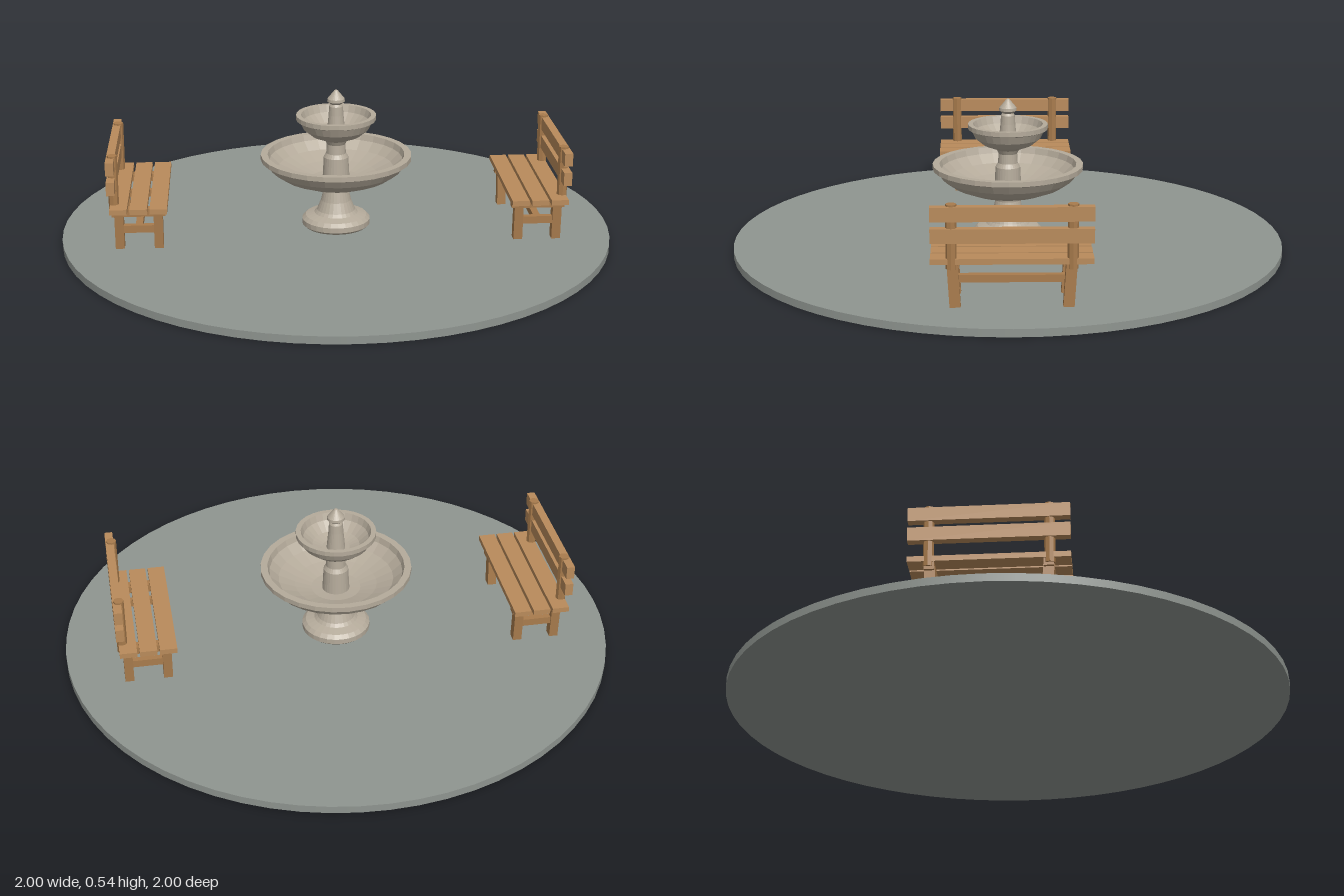
import * as THREE from 'three';

const wood = new THREE.MeshStandardMaterial({ color: 0xb98b5b, flatShading: true });
const darkWood = new THREE.MeshStandardMaterial({ color: 0xa97c4d, flatShading: true });
const stone = new THREE.MeshStandardMaterial({ color: 0xb5ab9b, flatShading: true, side: THREE.DoubleSide });
const paving = new THREE.MeshStandardMaterial({ color: 0x8f9590 });

function add(parent, name, geometry, material, x = 0, y = 0, z = 0) {
  const mesh = new THREE.Mesh(geometry, material);
  mesh.name = name;
  mesh.position.set(x, y, z);
  parent.add(mesh);
  return mesh;
}

// Box given by its min/max along each axis
function plank(parent, name, material, [x0, x1], [y0, y1], [z0, z1]) {
  return add(parent, name, new THREE.BoxGeometry(x1 - x0, y1 - y0, z1 - z0), material,
    (x0 + x1) / 2, (y0 + y1) / 2, (z0 + z1) / 2);
}

function lathe(parent, name, profile) {
  const points = profile.map(([r, y]) => new THREE.Vector2(r, y));
  return add(parent, name, new THREE.LatheGeometry(points, 28), stone);
}

function createFountain() {
  const fountain = new THREE.Group();
  fountain.name = 'fountain';
  // Rounded foot and flared pedestal
  lathe(fountain, 'pedestal', [
    [0, 0.027], [0.115, 0.027], [0.125, 0.036], [0.125, 0.055], [0.112, 0.068], [0.08, 0.077],
    [0.07, 0.088], [0.055, 0.125], [0.046, 0.165], [0.048, 0.178], [0.065, 0.19]
  ]);
  // Large bowl
  lathe(fountain, 'lowerBowl', [
    [0, 0.182], [0.075, 0.183], [0.14, 0.198], [0.2, 0.222], [0.24, 0.25], [0.259, 0.278],
    [0.275, 0.284], [0.275, 0.302], [0.25, 0.302], [0.243, 0.28], [0.21, 0.25],
    [0.15, 0.225], [0.09, 0.208], [0, 0.203]
  ]);
  // Stem between the bowls
  lathe(fountain, 'stem', [
    [0.05, 0.2], [0.045, 0.29], [0.036, 0.305], [0.034, 0.34], [0.042, 0.355], [0.06, 0.368]
  ]);
  // Small bowl
  lathe(fountain, 'upperBowl', [
    [0, 0.36], [0.055, 0.361], [0.09, 0.375], [0.12, 0.4], [0.133, 0.428],
    [0.145, 0.433], [0.145, 0.45], [0.127, 0.45], [0.118, 0.425], [0.085, 0.395],
    [0.05, 0.382], [0, 0.38]
  ]);
  // Spout with pointed finial
  lathe(fountain, 'finial', [
    [0.034, 0.38], [0.027, 0.45], [0.025, 0.482], [0.02, 0.49], [0.032, 0.5],
    [0.031, 0.51], [0.018, 0.526], [0.006, 0.541], [0, 0.543]
  ]);
  return fountain;
}

// Bench on the +x side, facing the centre
function createBench(name) {
  const bench = new THREE.Group();
  bench.name = name;
  const length = [-0.263, 0.263];

  for (const x of [0.61, 0.68, 0.75]) plank(bench, 'seatSlat', wood, [x, x + 0.061], [0.176, 0.195], length);
  for (const y of [0.248, 0.32]) plank(bench, 'backSlat', wood, [0.79, 0.819], [y, y + 0.048], length);

  for (const s of [-1, 1]) {
    const span = (a, b) => (s > 0 ? [a, b] : [-b, -a]);
    // Legs with rails across the seat
    for (const x of [0.628, 0.766]) {
      const leg = plank(bench, 'leg', darkWood, [x, x + 0.032], [0.027, 0.178], span(0.17, 0.206));
      leg.rotation.x = s * 0.06;
    }
    plank(bench, 'seatRail', darkWood, [0.618, 0.808], [0.149, 0.177], span(0.175, 0.208));
    plank(bench, 'lowerRail', darkWood, [0.64, 0.785], [0.086, 0.113], span(0.178, 0.2));
    // Eight-sided back post
    add(bench, 'backPost', new THREE.CylinderGeometry(0.018, 0.018, 0.215, 8), darkWood, 0.798, 0.267, s * 0.195);
  }
  // Long stretcher between the end frames
  plank(bench, 'stretcher', darkWood, [0.7, 0.725], [0.088, 0.113], [-0.19, 0.19]);
  return bench;
}

export function createModel() {
  const model = new THREE.Group();
  model.name = 'plaza';
  add(model, 'pavedDisc', new THREE.CylinderGeometry(1, 1, 0.027, 64), paving, 0, 0.0135, 0);
  model.add(createFountain());
  const leftBench = createBench('leftBench');
  const rightBench = createBench('rightBench');
  rightBench.rotation.y = Math.PI;
  model.add(leftBench, rightBench);
  return model;
}
